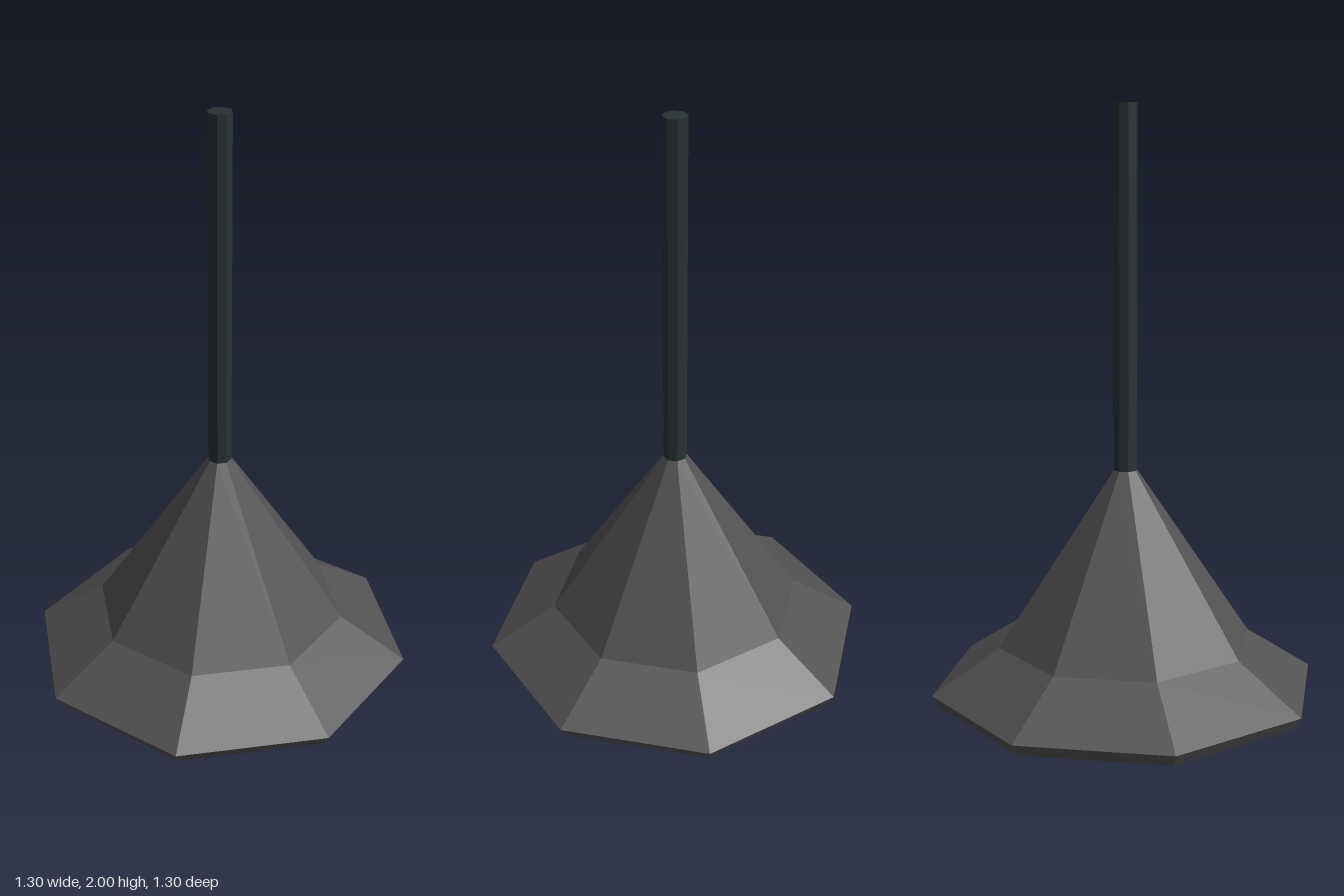
import * as THREE from 'three';

const SIDES = 8;

const flat = (name, color) => {
  const m = new THREE.MeshStandardMaterial({ color, flatShading: true });
  m.name = name;
  return m;
};

// Octagonal turned part; an outer profile runs from bottom to top.
function turned(name, profile, material) {
  const points = profile.map(([r, y]) => new THREE.Vector2(r, y));
  const mesh = new THREE.Mesh(new THREE.LatheGeometry(points, SIDES), material);
  mesh.name = name;
  return mesh;
}

export function createModel() {
  const lamp = new THREE.Group();
  lamp.name = 'pendantLamp';

  const shadeGrey = flat('shadeGrey', 0x525252);
  const rodDark = flat('rodDark', 0x283235);
  const socketGrey = flat('socketGrey', 0x6b737c);
  const bulbWhite = flat('bulbWhite', 0xc4c4ca);

  // Hollow shade of even thickness: down the inside, round the lip, up the outside
  lamp.add(turned('shade', [
    [0, 0.8], [0.39, 0.215], [0.622, 0.063],
    [0.648, 0.104], [0.425, 0.25], [0.039, 0.826], [0, 0.826],
  ], shadeGrey));

  // Hanging rod
  lamp.add(turned('rod', [[0.039, 0.82], [0.039, 2], [0, 2]], rodDark));

  // Socket with a flared collar, fixed high inside the shade
  lamp.add(turned('socket', [
    [0, 0.26], [0.06, 0.26], [0.105, 0.28], [0.075, 0.35], [0.072, 0.7],
  ], socketGrey));

  // Bulb with a narrow neck
  lamp.add(turned('bulb', [
    [0, 0], [0.074, 0.02], [0.098, 0.085], [0.092, 0.125], [0.062, 0.2], [0.062, 0.27],
  ], bulbWhite));

  return lamp;
}
